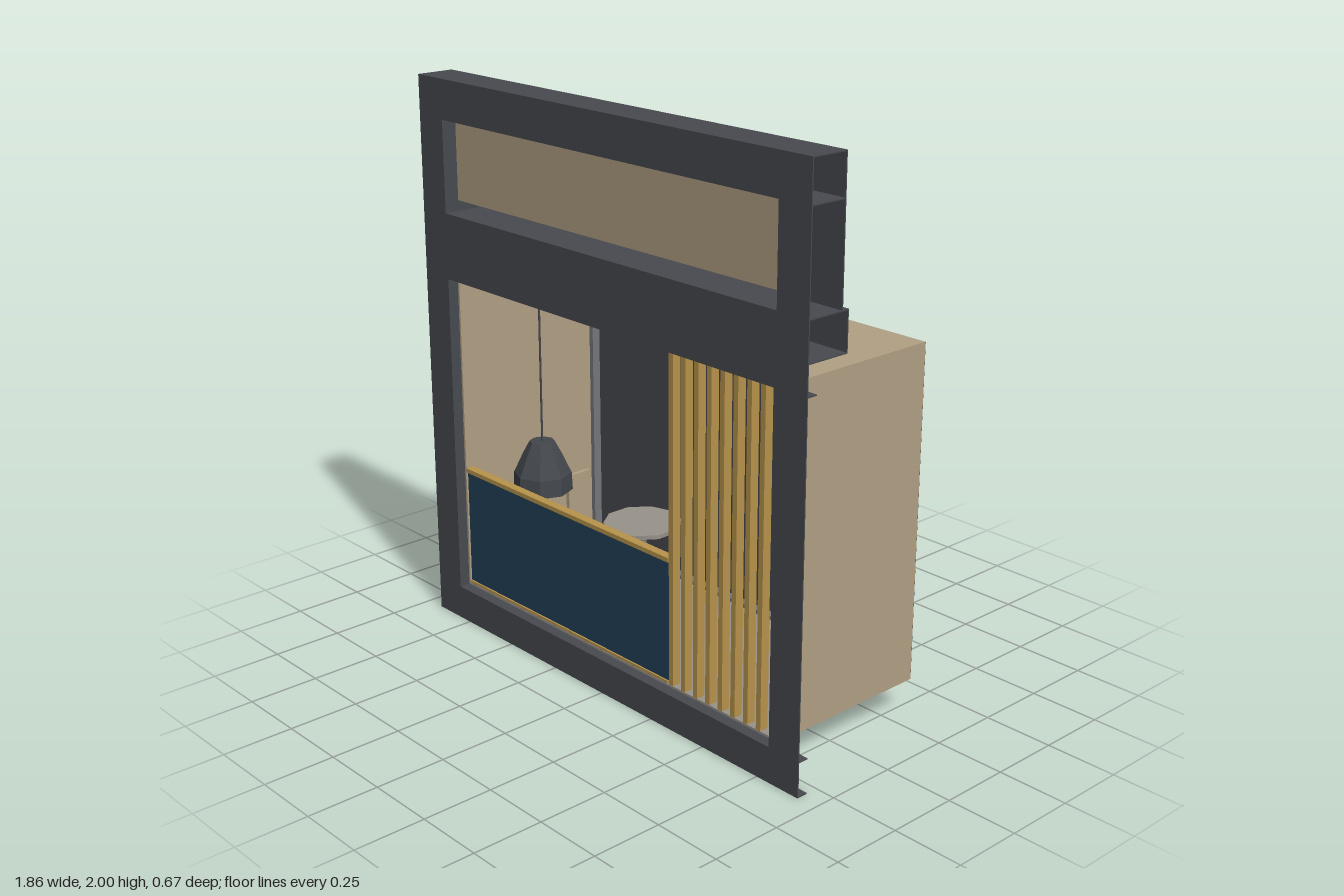
import * as THREE from 'three';

const mat = (name, color) => {
  const m = new THREE.MeshStandardMaterial({ color });
  m.name = name;
  return m;
};

export function createModel() {
  const model = new THREE.Group();
  model.name = 'balconyBay';
  const charcoal = mat('charcoal', 0x474a4f);
  const tan = mat('tan', 0xb2a184);
  const navy = mat('navy', 0x22405a);
  const gold = mat('gold', 0xb8944c);
  const steel = mat('steelGrey', 0x74777b);
  const stone = mat('warmGrey', 0x98928a);
  const T = 0.004; // sheet thickness

  const group = (name) => {
    const g = new THREE.Group();
    g.name = name;
    model.add(g);
    return g;
  };
  const add = (parent, name, geo, material) => {
    const m = new THREE.Mesh(geo, material);
    m.name = name;
    parent.add(m);
    return m;
  };
  // Box from its limits on each axis
  const box = (parent, name, material, x0, x1, y0, y1, z0, z1) => {
    const m = add(parent, name, new THREE.BoxGeometry(x1 - x0, y1 - y0, z1 - z0), material);
    m.position.set((x0 + x1) / 2, (y0 + y1) / 2, (z0 + z1) / 2);
    return m;
  };
  const rect = (P, x, y0, y1) => {
    const p = new P();
    p.moveTo(-x, y0); p.lineTo(x, y0); p.lineTo(x, y1); p.lineTo(-x, y1); p.closePath();
    return p;
  };
  // Upright sheet with rectangular openings
  const sheet = (parent, name, y0, y1, holes, z) => {
    const s = rect(THREE.Shape, W, y0, y1);
    holes.forEach(([a, b]) => s.holes.push(rect(THREE.Path, 0.8, a, b)));
    const m = add(parent, name, new THREE.ExtrudeGeometry(s, { depth: T, bevelEnabled: false }), charcoal);
    m.position.z = z;
  };

  // Facade: folded sheet frame, open at both ends
  const W = 0.928, F = 0.335;
  const facade = group('facadeFrame');
  sheet(facade, 'frontSheet', 0, 2, [[0.125, 1.3], [1.535, 1.86]], F - T);
  sheet(facade, 'upperBackSheet', 1.535, 2, [[1.535, 1.86]], 0.195);
  sheet(facade, 'ledgeBackSheet', 1.4, 1.535, [], 0.17);
  [[0, 0.295], [0.121, 0.295], [1.3, 0.295], [1.4, 0.17], [1.531, 0.17], [1.86, 0.195], [2 - T, 0.195]]
    .forEach(([y, z]) => box(facade, 'flange', charcoal, -W, W, y, y + T, z, F - T));
  for (const s of [-1, 1]) {
    const x = s * 0.802;
    box(facade, 'lowerJamb', charcoal, x - T / 2, x + T / 2, 0, 1.4, 0.295, F - T);
    box(facade, 'upperJamb', charcoal, x - T / 2, x + T / 2, 1.4, 1.86, 0.199, F - T);
  }
  box(model, 'signPanel', tan, -0.8, 0.8, 1.573, 1.845, 0.25, 0.28);

  // Room behind the lower opening
  const room = group('room');
  for (const s of [-1, 1]) {
    const x = s * 0.796;
    box(room, 'sideWall', tan, x - T, x + T, 0.125, 1.3, -0.333, 0.295);
  }
  box(room, 'ceiling', tan, -0.792, 0.792, 1.292, 1.3, -0.333, 0.295);
  box(room, 'floor', stone, -0.792, 0.792, 0.125, 0.133, -0.333, 0.295);
  box(room, 'backWall', charcoal, -0.799, 0.799, 0.126, 1.299, -0.335, -0.328);
  for (const x of [-0.533, 0.012])
    box(room, 'ceilingPlate', steel, x - 0.028, x + 0.028, 1.299, 1.302, -0.06, 0);

  // Glazing bars against the back wall
  const glazing = group('glazingBars');
  for (const x of [-0.783, -0.268, 0.265, 0.783])
    box(glazing, 'mullion', steel, x - 0.009, x + 0.009, 0.133, 1.292, -0.328, -0.295);
  for (const y of [0.133, 1.278])
    box(glazing, 'rail', steel, -0.79, 0.79, y, y + 0.014, -0.328, -0.296);

  // Counter front with gold trims
  const counter = group('counter');
  box(counter, 'counterPanel', navy, -0.8, 0.29, 0.14, 0.57, 0.27, 0.288);
  for (const y of [0.126, 0.568])
    box(counter, 'counterTrim', gold, -0.8, 0.29, y, y + 0.016, 0.262, 0.294);

  // Vertical slat screen
  const screen = group('slatScreen');
  for (let i = 0; i < 9; i++) {
    const x = 0.306 + i * 0.058;
    box(screen, 'slat', gold, x - 0.01, x + 0.01, 0.126, 1.3, 0.262, 0.294);
  }

  // Pendant lamp with faceted shade
  const lamp = group('pendantLamp');
  lamp.position.set(-0.618, 0, 0.08);
  const profile = [[0, 0.685], [0.046, 0.685], [0.07, 0.64], [0.105, 0.565], [0.108, 0.5]]
    .reverse().map(([r, y]) => new THREE.Vector2(r, y));
  const shadeMat = mat('darkShade', 0x43474c);
  shadeMat.flatShading = true;
  shadeMat.side = THREE.DoubleSide;
  add(lamp, 'shade', new THREE.LatheGeometry(profile, 8), shadeMat);
  add(lamp, 'cord', new THREE.CylinderGeometry(0.004, 0.004, 0.61, 6), charcoal).position.y = 0.988;

  // Round table
  const table = group('table');
  table.position.set(-0.22, 0, -0.05);
  add(table, 'tableTop', new THREE.CylinderGeometry(0.14, 0.14, 0.015, 10).toNonIndexed(), stone).position.y = 0.45;
  add(table, 'tableLeg', new THREE.CylinderGeometry(0.015, 0.015, 0.31, 8), steel).position.y = 0.288;
  add(table, 'tableFoot', new THREE.CylinderGeometry(0.07, 0.07, 0.01, 10), steel).position.y = 0.138;

  // Chair beside the table
  const chair = group('chair');
  box(chair, 'chairBack', tan, -0.565, -0.55, 0.33, 0.55, -0.085, 0.015);
  box(chair, 'chairSeat', tan, -0.565, -0.44, 0.32, 0.335, -0.085, 0.015);
  for (const x of [-0.558, -0.447])
    for (const z of [-0.078, 0.008])
      box(chair, 'chairLeg', steel, x - 0.006, x + 0.006, 0.133, 0.32, z - 0.006, z + 0.006);

  return model;
}
